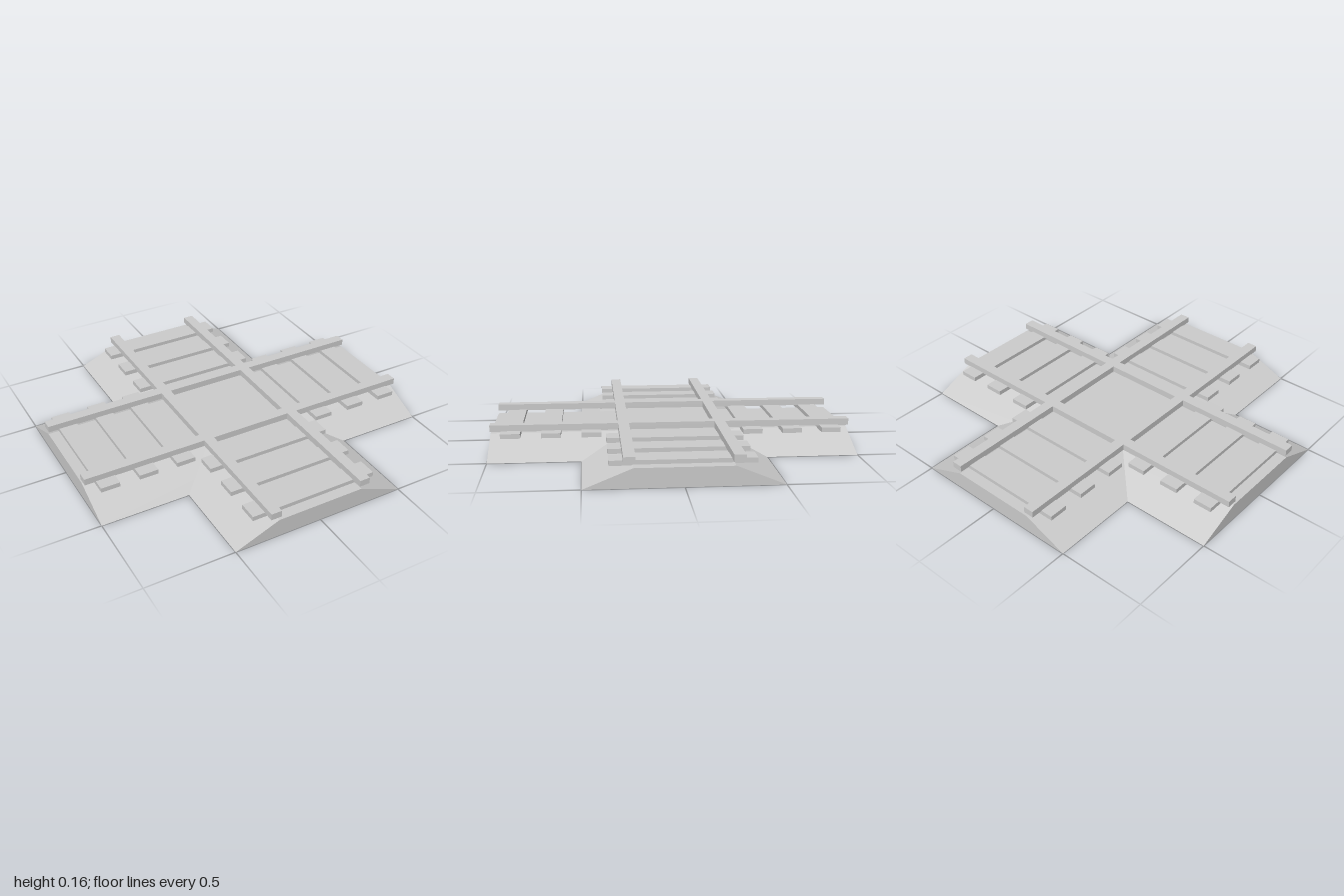
import * as THREE from 'three';

const material = new THREE.MeshStandardMaterial({ color: 0xcccccc, flatShading: true });
const shellMaterial = new THREE.MeshStandardMaterial({ color: 0xcccccc, flatShading: true, side: THREE.DoubleSide });

// Trapezoid embankment along x, open underneath
function embankmentGeometry(length, base, top, height) {
  const section = [[base / 2, 0], [top / 2, height], [-top / 2, height], [-base / 2, 0]]; // [z, y]
  const positions = [];
  for (const x of [-length / 2, length / 2]) {
    for (const [z, y] of section) positions.push(x, y, z);
  }
  const index = [];
  for (let i = 0; i < 3; i++) index.push(i, i + 4, i + 5, i, i + 5, i + 1);
  index.push(0, 1, 2, 0, 2, 3, 4, 6, 5, 4, 7, 6); // end walls
  const geometry = new THREE.BufferGeometry();
  geometry.setAttribute('position', new THREE.Float32BufferAttribute(positions, 3));
  geometry.setIndex(index);
  const flat = geometry.toNonIndexed();
  flat.computeVertexNormals();
  return flat;
}

function addBox(group, name, size, position) {
  const mesh = new THREE.Mesh(new THREE.BoxGeometry(...size), material);
  mesh.position.set(...position);
  mesh.name = name;
  group.add(mesh);
}

// One straight track running along x
function createTrack() {
  const track = new THREE.Group();
  const bed = new THREE.Mesh(embankmentGeometry(2, 1, 0.5, 0.102), shellMaterial);
  bed.name = 'gravelBed';
  track.add(bed);

  for (const side of [-1, 1]) {
    addBox(track, 'rail', [2, 0.037, 0.06], [0, 0.139, side * 0.268]);
    // Sleepers stop short of the crossing
    for (const x of [0.445, 0.665, 0.885]) {
      addBox(track, 'sleeper', [0.107, 0.026, 0.735], [side * x, 0.111, 0]);
    }
  }
  return track;
}

export function createModel() {
  const model = new THREE.Group();
  model.name = 'railCrossing';
  ['sideToSideTrack', 'frontToBackTrack'].forEach((name, i) => {
    const track = createTrack();
    track.name = name;
    track.rotation.y = i * Math.PI / 2;
    model.add(track);
  });
  return model;
}
